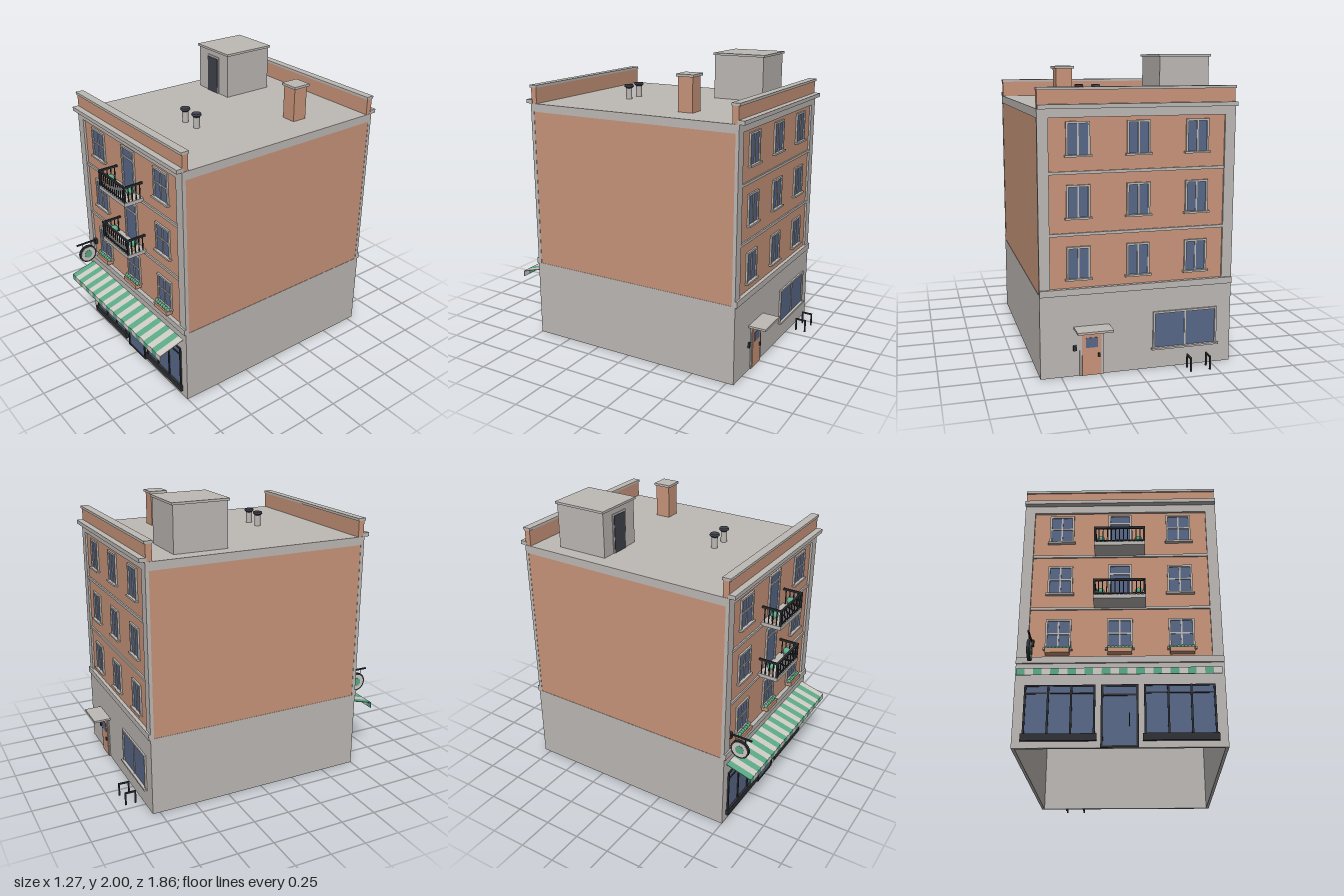
import * as THREE from 'three';

const mat = (name, color) => {
  const m = new THREE.MeshStandardMaterial({ color });
  m.name = name;
  return m;
};

export function createModel() {
  const brick = mat('terracotta brick', 0xc9957a);
  const stone = mat('pale stone', 0xbdb9b5);
  const glass = mat('blue glass', 0x586888);
  const iron = mat('dark iron', 0x2e3035);
  const slate = mat('slate door', 0x41424c);
  const green = mat('mint green', 0x5cab88);
  const cream = mat('cream canvas', 0xd0ccc6);

  const root = new THREE.Group();
  root.name = 'townhouse';

  const group = (name, parent = root) => {
    const g = new THREE.Group();
    g.name = name;
    parent.add(g);
    return g;
  };
  const mesh = (parent, name, geo, m, x = 0, y = 0, z = 0) => {
    const o = new THREE.Mesh(geo, m);
    o.name = name;
    o.position.set(x, y, z);
    parent.add(o);
    return o;
  };
  // Box given by its minimum and maximum on each axis
  const box = (parent, name, m, x0, x1, y0, y1, z0, z1) =>
    mesh(parent, name, new THREE.BoxGeometry(x1 - x0, y1 - y0, z1 - z0), m,
      (x0 + x1) / 2, (y0 + y1) / 2, (z0 + z1) / 2);

  // Ground floor: hollow, open below
  const W = 0.633, ZF = 0.752, ZB = -0.8;
  const ground = group('groundFloor');
  box(ground, 'frontWall', stone, -W, W, 0, 0.54, ZF - 0.02, ZF);
  box(ground, 'backWall', stone, -W, W, 0, 0.54, ZB, ZB + 0.02);
  for (const s of [-1, 1])
    box(ground, 'sideWall', stone, s * W - (s > 0 ? 0.02 : 0), s * W + (s < 0 ? 0.02 : 0), 0, 0.54, ZB + 0.02, ZF - 0.02);

  // Upper floors and roof slab
  box(root, 'upperFloors', brick, -0.631, 0.631, 0.538, 1.64, -0.787, 0.737);
  box(root, 'roofSlab', stone, -W, W, 1.63, 1.685, ZB, ZF);

  // Casement window; wall face is at z
  const addWindow = (parent, x, y0, y1, z, w, crossbar) => {
    const g = group('window', parent);
    const h = w / 2, b = 0.013;
    box(g, 'glass', glass, x - h + b, x + h - b, y0, y1 - b, z - 0.002, z + 0.004);
    for (const s of [-1, 1]) box(g, 'jamb', stone, x + s * (h - b / 2) - b / 2, x + s * (h - b / 2) + b / 2, y0, y1, z - 0.002, z + 0.012);
    box(g, 'head', stone, x - h + b, x + h - b, y1 - b, y1, z - 0.002, z + 0.012);
    box(g, 'mullion', stone, x - 0.005, x + 0.005, y0, y1 - b, z, z + 0.009);
    if (crossbar) box(g, 'crossbar', stone, x - h + b, x + h - b, (y0 + y1) / 2 - 0.005, (y0 + y1) / 2 + 0.005, z, z + 0.009);
    box(g, 'sill', stone, x - h - 0.01, x + h + 0.01, y0 - 0.012, y0, z - 0.002, z + 0.024);
  };

  const rows = [[0.637, 0.838], [1.022, 1.222], [1.405, 1.607]];
  const columns = [-0.383, 0, 0.383];

  // Trim shared by front and back; the group faces +z
  const facade = (name, z, edge) => {
    const g = group(name);
    for (const s of [-1, 1]) box(g, 'pilaster', stone, s * 0.599 - 0.034, s * 0.599 + 0.034, 0.57, 1.632, z - 0.01, edge);
    box(g, 'shopBand', stone, -W, W, 0.533, 0.575, z - 0.01, edge + 0.012);
    for (const y of [0.915, 1.297]) box(g, 'floorBand', stone, -0.565, 0.565, y - 0.009, y + 0.009, z - 0.002, z + 0.01);
    box(g, 'cornice', stone, -W, W, 1.684, 1.71, edge - 0.012, edge + 0.036);
    box(g, 'parapet', brick, -W + 0.003, W - 0.003, 1.684, 1.795, edge - 0.047, edge - 0.006);
    box(g, 'parapetCap', stone, -W, W, 1.793, 1.81, edge - 0.053, edge + 0.003);
    return g;
  };
  const front = facade('frontFacade', 0.737, ZF);
  const back = facade('backFacade', 0.787, -ZB);
  back.rotation.y = Math.PI;

  rows.forEach(([y0, y1], r) => columns.forEach((x, c) => {
    addWindow(back, x, y0, y1, 0.787, 0.15, false);
    if (r === 0 || c !== 1) addWindow(front, x, y0, y1, 0.737, 0.16, true);
  }));

  // Flower boxes on the first row
  for (const x of columns) {
    const g = group('flowerBox', front);
    box(g, 'trough', brick, x - 0.075, x + 0.075, 0.595, 0.626, 0.738, 0.785);
    for (let i = 0; i < 7; i++)
      mesh(g, 'plant', new THREE.IcosahedronGeometry(0.014, 1), green, x - 0.066 + i * 0.022, 0.632, 0.764);
  }

  // Balconies with tall doors, railings and potted shrubs
  for (const y of [0.942, 1.325]) {
    const g = group('balcony', front);
    const top = y + 0.288, z = 0.737;
    box(g, 'doorGlass', glass, -0.062, 0.062, y, top - 0.012, z - 0.002, z + 0.004);
    for (const s of [-1, 1]) box(g, 'doorJamb', stone, s * 0.069 - 0.007, s * 0.069 + 0.007, y, top, z - 0.002, z + 0.012);
    box(g, 'doorHead', stone, -0.062, 0.062, top - 0.012, top, z - 0.002, z + 0.012);
    box(g, 'transom', stone, -0.062, 0.062, top - 0.075, top - 0.063, z, z + 0.01);
    box(g, 'slab', stone, -0.163, 0.163, y - 0.026, y, z - 0.002, 0.875);
    box(g, 'frontRail', iron, -0.163, 0.163, y + 0.1, y + 0.113, 0.862, 0.875);
    box(g, 'frontFootRail', iron, -0.163, 0.163, y + 0.008, y + 0.014, 0.865, 0.872);
    for (let i = 0; i <= 12; i++) {
      const x = -0.157 + i * 0.314 / 12, t = i % 12 ? 0.003 : 0.006;
      box(g, 'baluster', iron, x - t, x + t, y, y + 0.102, 0.868 - t, 0.868 + t);
    }
    for (const s of [-1, 1]) {
      box(g, 'sideRail', iron, s * 0.157 - 0.006, s * 0.157 + 0.006, y + 0.1, y + 0.113, z, 0.863);
      for (const bz of [0.757, 0.785, 0.813, 0.841])
        box(g, 'sideBaluster', iron, s * 0.157 - 0.003, s * 0.157 + 0.003, y, y + 0.102, bz - 0.003, bz + 0.003);
      mesh(g, 'pot', new THREE.CylinderGeometry(0.02, 0.015, 0.036, 12), brick, s * 0.12, y + 0.018, 0.808);
      mesh(g, 'shrub', new THREE.SphereGeometry(0.026, 16, 12), green, s * 0.12, y + 0.052, 0.808);
    }
  }

  // Shop windows and entrance
  for (const s of [-1, 1]) {
    const g = group('shopWindow');
    const a = s > 0 ? 0.145 : -0.572, b = a + 0.427;
    box(g, 'shopGlass', glass, a, b, 0.075, 0.385, ZF - 0.002, ZF + 0.003);
    box(g, 'stallRiser', iron, a - 0.01, b + 0.01, 0.04, 0.083, ZF - 0.002, ZF + 0.018);
    for (let i = 0; i < 4; i++) {
      const x = a + 0.006 + i * 0.415 / 3;
      box(g, 'shopMullion', iron, x - 0.006, x + 0.006, 0.08, 0.39, ZF, ZF + 0.01);
    }
    for (const y of [0.338, 0.386]) box(g, 'shopTransom', iron, a, b, y - 0.004, y + 0.004, ZF, ZF + 0.009);
  }
  const entry = group('shopDoor');
  box(entry, 'doorGlass', glass, -0.1, 0.1, 0.01, 0.38, ZF - 0.002, ZF + 0.004);
  for (const s of [-1, 1]) box(entry, 'doorJamb', iron, s * 0.105 - 0.007, s * 0.105 + 0.007, 0, 0.39, ZF, ZF + 0.01);
  for (const y of [0.006, 0.325, 0.385]) box(entry, 'doorRail', iron, -0.1, 0.1, y - 0.006, y + 0.006, ZF, ZF + 0.009);
  box(entry, 'doorHandle', iron, 0.055, 0.061, 0.13, 0.21, ZF, ZF + 0.016);

  // Striped awning: sloped canvas and hanging valance
  const awning = group('awning');
  const drop = 0.05, run = 0.178, slope = Math.hypot(drop, run);
  for (let i = 0; i < 24; i++) {
    const w = 1.196 / 24, x = -0.598 + (i + 0.5) * w, m = i % 2 ? cream : green;
    const c = mesh(awning, 'canvasStripe', new THREE.BoxGeometry(w, 0.005, slope), m, x, 0.45, ZF + run / 2);
    c.rotation.x = Math.atan2(drop, run);
    mesh(awning, 'valanceStripe', new THREE.BoxGeometry(w, 0.04, 0.005), m, x, 0.405, 0.929);
  }

  // Round hanging sign on a bracket
  const sign = group('hangingSign');
  box(sign, 'bracket', iron, -0.55, -0.54, 0.68, 0.69, 0.74, 0.9);
  box(sign, 'wallPlate', iron, -0.56, -0.53, 0.655, 0.695, 0.737, 0.757);
  for (const z of [0.785, 0.855]) box(sign, 'hanger', iron, -0.547, -0.543, 0.64, 0.682, z - 0.002, z + 0.002);
  for (const [name, r, t, m] of [['rim', 0.066, 0.018, iron], ['face', 0.055, 0.022, cream], ['centre', 0.03, 0.026, green]])
    mesh(sign, name, new THREE.CylinderGeometry(r, r, t, 32), m, -0.545, 0.594, 0.82).rotation.z = Math.PI / 2;

  // Rear door with canopy; local x is mirrored in the back group
  const rear = group('rearDoor', back);
  const dx = -0.305, z = 0.8;
  box(rear, 'frame', stone, dx - 0.078, dx + 0.078, 0, 0.292, z - 0.002, z + 0.008);
  box(rear, 'door', brick, dx - 0.063, dx + 0.063, 0.004, 0.278, z, z + 0.012);
  box(rear, 'doorWindow', glass, dx - 0.038, dx + 0.038, 0.185, 0.25, z + 0.01, z + 0.015);
  box(rear, 'doorHandle', iron, dx + 0.04, dx + 0.052, 0.12, 0.145, z + 0.01, z + 0.022);
  box(rear, 'canopy', stone, dx - 0.115, dx + 0.115, 0.312, 0.326, z - 0.002, 0.92);
  box(rear, 'intercom', iron, dx - 0.118, dx - 0.098, 0.17, 0.205, z - 0.002, z + 0.012);
  addWindow(back, 0.318, 0.14, 0.38, z, 0.435, false);

  // Bicycle racks
  for (const x of [-0.45, -0.32]) {
    const g = group('bikeRack');
    for (const rz of [-0.921, -0.853]) box(g, 'post', iron, x - 0.005, x + 0.005, 0, 0.092, rz - 0.005, rz + 0.005);
    box(g, 'bar', iron, x - 0.005, x + 0.005, 0.082, 0.092, -0.916, -0.858);
  }

  // Rooftop stair house
  const hut = group('stairHouse');
  box(hut, 'hutWalls', stone, -0.535, -0.202, 1.684, 1.987, -0.578, -0.212);
  box(hut, 'hutRoof', stone, -0.545, -0.192, 1.985, 2, -0.588, -0.203);
  box(hut, 'hutDoorFrame', stone, -0.44, -0.3, 1.684, 1.95, -0.214, -0.207);
  box(hut, 'hutDoor', slate, -0.427, -0.313, 1.685, 1.937, -0.21, -0.204);

  // Chimney
  const chimney = group('chimney');
  box(chimney, 'stack', brick, 0.326, 0.43, 1.684, 1.912, -0.381, -0.277);
  box(chimney, 'chimneyCap', stone, 0.315, 0.441, 1.91, 1.926, -0.392, -0.266);

  // Roof vents
  for (const x of [0, 0.127]) {
    const g = group('roofVent');
    mesh(g, 'pipe', new THREE.CylinderGeometry(0.021, 0.021, 0.082, 20), stone, x, 1.725, 0.29);
    mesh(g, 'cowl', new THREE.CylinderGeometry(0.034, 0.022, 0.012, 20), slate, x, 1.766, 0.29);
    mesh(g, 'cowlTop', new THREE.CylinderGeometry(0.03, 0.034, 0.012, 20), slate, x, 1.778, 0.29);
  }

  return root;
}
